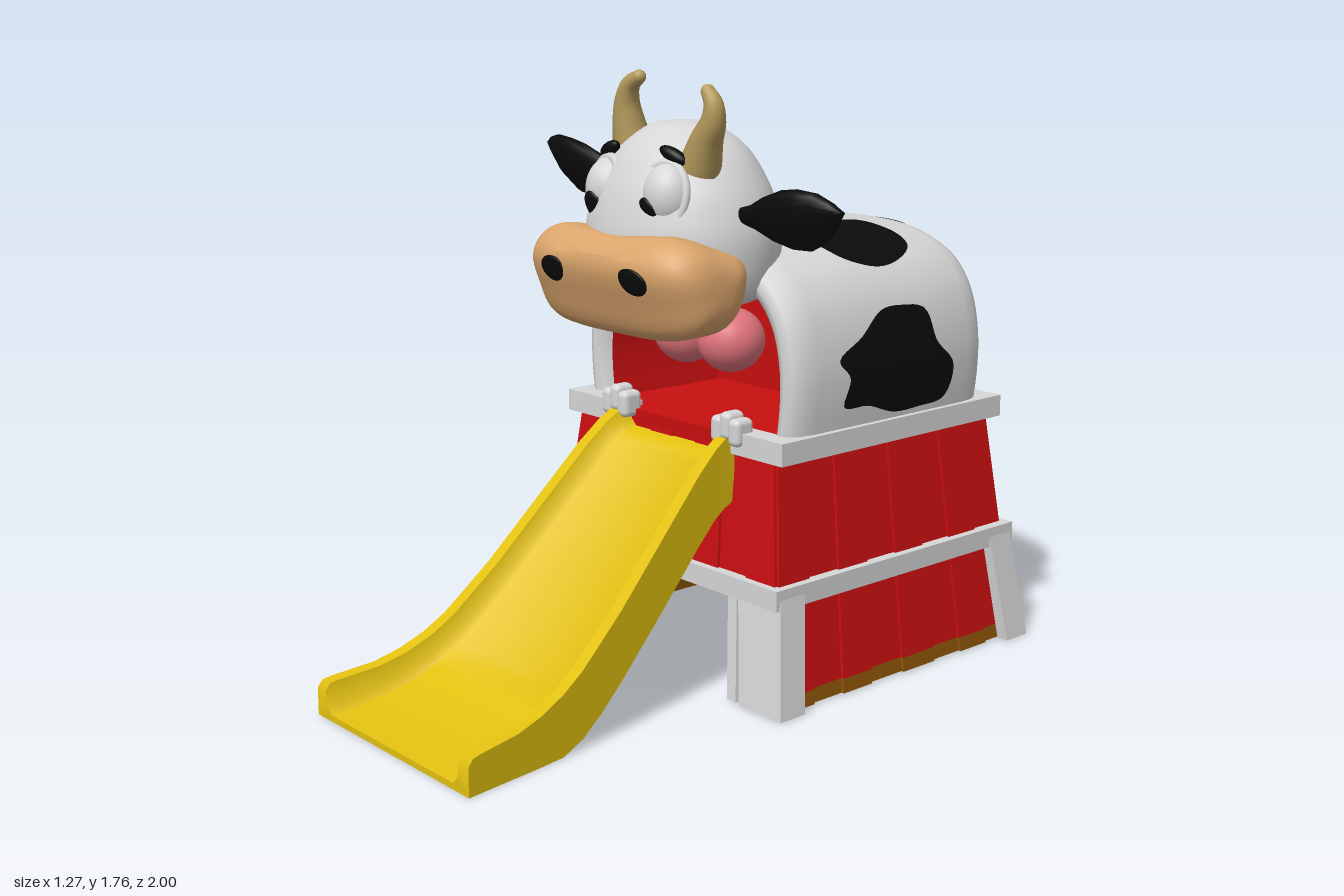
import * as THREE from 'three';
import { toCreasedNormals } from 'three/addons/utils/BufferGeometryUtils.js';
import { RoundedBoxGeometry } from 'three/addons/geometries/RoundedBoxGeometry.js';

const material = (name, color, side = THREE.FrontSide) => {
  const m = new THREE.MeshStandardMaterial({ color, side });
  m.name = name;
  return m;
};
const CX = -0.04, CZ = -0.46; // centre of the barn base
const lerp = THREE.MathUtils.lerp;

// linear lookup in a table of [key, value] pairs with rising keys
function lookup(table, k) {
  for (let i = 1; i < table.length; i++) {
    const [a, va] = table[i - 1], [b, vb] = table[i];
    if (k <= b) return lerp(va, vb, THREE.MathUtils.clamp((k - a) / (b - a), 0, 1));
  }
  return table[table.length - 1][1];
}

// skin over closed rings of [x, y, z]; caps are triangulated in the given two axes
function loft(rings, { start = true, end = true, axes = [0, 1], crease = 0.7 } = {}) {
  const n = rings[0].length, p = rings.flat(), idx = [];
  for (let r = 0; r + 1 < rings.length; r++)
    for (let i = 0; i < n; i++) {
      const a = r * n + i, b = r * n + (i + 1) % n;
      idx.push(a, b, b + n, a, b + n, a + n);
    }
  const cap = (r, flip) => {
    let pts = rings[r].map(q => new THREE.Vector2(q[axes[0]], q[axes[1]]));
    const reversed = THREE.ShapeUtils.area(pts) < 0;
    if (reversed) pts = pts.reverse();
    for (const f of THREE.ShapeUtils.triangulateShape(pts, [])) {
      const g = f.map(i => r * n + (reversed ? n - 1 - i : i));
      if (reversed !== flip) g.reverse();
      idx.push(...g);
    }
  };
  if (start) cap(0, true);
  if (end) cap(rings.length - 1, false);
  // turn the skin outward
  let volume = 0;
  const v = i => new THREE.Vector3(...p[i]).sub(new THREE.Vector3(...p[0]));
  for (let i = 0; i < idx.length; i += 3) volume += v(idx[i]).dot(v(idx[i + 1]).cross(v(idx[i + 2])));
  if (volume < 0) idx.reverse();
  const g = new THREE.BufferGeometry();
  g.setAttribute('position', new THREE.Float32BufferAttribute(p.flat(), 3));
  g.setIndex(idx);
  return toCreasedNormals(g, crease);
}

export function createModel() {
  const model = new THREE.Group();
  model.name = 'cowBarnSlide';
  const white = material('white', 0xd6d6d6), red = material('barn red', 0xc80f10, THREE.DoubleSide);
  const yellow = material('slide yellow', 0xe2c010), black = material('black', 0x0b0b0b, THREE.DoubleSide);
  const peach = material('muzzle peach', 0xdba56c), tan = material('horn tan', 0xb89d5e);
  const pink = material('tongue pink', 0xe0737c), brown = material('mud brown', 0x8c5608);

  const add = (name, geo, mat, pos = [0, 0, 0], rot = [0, 0, 0], scale = [1, 1, 1]) => {
    const m = new THREE.Mesh(geo, mat);
    m.name = name;
    m.position.set(...pos);
    m.rotation.set(...rot);
    m.scale.set(...scale);
    model.add(m);
    return m;
  };
  const ball = (name, mat, pos, radii, rot) => add(name, new THREE.SphereGeometry(1, 32, 20), mat, pos, rot, radii);
  const box = (name, mat, x0, x1, y0, y1, z0, z1) => add(name, new THREE.BoxGeometry(x1 - x0, y1 - y0, z1 - z0), mat,
    [(x0 + x1) / 2, (y0 + y1) / 2, (z0 + z1) / 2]);
  // slanted block whose footprint [x0, x1, z0, z1] depends on height
  const block = (name, mat, y0, y1, foot) => add(name, loft([y0, y1].map(y => {
    const [x0, x1, z0, z1] = foot(y);
    return [[x0, y, z0], [x1, y, z0], [x1, y, z1], [x0, y, z1]];
  }), { axes: [0, 2], crease: 0.1 }), mat);

  // plank walls, leaning inward
  const hx = y => 0.512 - 0.125 * y, hz = y => 0.515 - 0.1 * y;
  const N = 8;
  const cut = (i, y) => (i === 0 || i === N ? 0 : 0.035 * Math.sin(i * 4.7) * (y / 0.7 - 0.5)) + (2 * i) / N - 1;
  for (const s of [-1, 1])
    for (let i = 0; i < N; i++) {
      const out = i % 2 ? 0.009 : 0;
      const side = y => {
        const a = CX + s * (hx(y) - 0.03), b = CX + s * (hx(y) + out);
        return [Math.min(a, b), Math.max(a, b), CZ + cut(i, y) * hz(y), CZ + cut(i + 1, y) * hz(y)];
      };
      const endWall = y => {
        const a = CZ + s * (hz(y) - 0.03), b = CZ + s * (hz(y) + out);
        return [CX + cut(i, y) * hx(y), CX + cut(i + 1, y) * hx(y), Math.min(a, b), Math.max(a, b)];
      };
      block('sidePlankFoot', brown, 0.003, 0.045, side);
      block('sidePlank', red, 0.045, 0.71, side);
      const outer = i < 2 || i >= N - 2;
      if (s < 0 && outer) block('backPlankFoot', brown, 0.003, 0.045, endWall);
      block('endPlank', red, s < 0 && outer ? 0.045 : 0.31, 0.71, endWall);
    }

  // corner legs and doorway posts
  for (const sx of [-1, 1])
    for (const sz of [-1, 1]) {
      block('cornerLeg', white, 0, 0.33, y => {
        const xo = CX + sx * (0.55 - 0.15 * y), zo = CZ + sz * (0.54 - 0.13 * y);
        const xi = xo - sx * 0.17, zi = zo - sz * 0.095;
        return [Math.min(xo, xi), Math.max(xo, xi), Math.min(zo, zi), Math.max(zo, zi)];
      });
      block('doorPost', white, 0.003, 0.31, y => {
        const x = CX + sx * (sz < 0 ? 0.245 : 0.345 - 0.1 * y), z = CZ + sz * (hz(y) - 0.01);
        return [x - 0.018, x + 0.018, z - 0.03, z + 0.03];
      });
    }

  // trim boards round the base, with a gap for the slide at the top
  const trim = (name, y0, y1, X, Z, w, gap) => {
    for (const s of [-1, 1]) {
      const a = CX + s * X, b = a - s * w;
      box(name, white, Math.min(a, b), Math.max(a, b), y0, y1, CZ - Z, CZ + Z);
    }
    box(name, white, CX - X + w, CX + X - w, y0, y1, CZ - Z, CZ - Z + w);
    if (!gap) box(name, white, CX - X + w, CX + X - w, y0, y1, CZ + Z - w, CZ + Z);
    else for (const [x0, x1] of [[CX - X + w, -0.24], [0.19, CX + X - w]]) box(name, white, x0, x1, y0, y1, CZ + Z - w, CZ + Z);
  };
  trim('middleTrim', 0.3, 0.36, 0.5, 0.512, 0.06, false);
  trim('topTrim', 0.7, 0.765, 0.47, 0.468, 0.07, true);
  box('lowerFloor', white, CX - 0.45, CX + 0.45, 0.305, 0.325, CZ - 0.46, CZ + 0.46);
  box('deck', white, CX - 0.41, CX + 0.41, 0.7, 0.735, CZ - 0.42, CZ + 0.35);
  box('mouthFloor', red, -0.37, 0.31, 0.69, 0.75, -0.5, -0.012);

  // slide: [z, rail top, bed, underside]
  const slide = [[-0.01, 0.755, 0.7, 0.56], [0.03, 0.745, 0.69, 0.545], [0.07, 0.72, 0.665, 0.52], [0.14, 0.66, 0.59, 0.455],
    [0.3, 0.5, 0.425, 0.295], [0.45, 0.35, 0.275, 0.15], [0.53, 0.28, 0.2, 0.08], [0.6, 0.22, 0.145, 0.03], [0.67, 0.175, 0.1, 0.002],
    [0.75, 0.14, 0.065, 0], [0.83, 0.118, 0.042, 0], [0.96, 0.105, 0.022, 0], [0.985, 0.1, 0.02, 0], [1, 0.08, 0.018, 0]];
  add('slide', loft(slide.map(([z, top, bed, low]) => {
    const w = 0.25 + 0.112 * Math.max(z, 0), half = [[w, low], [w, top], [w - 0.04, top], [w - 0.05, bed + 0.02], [w - 0.07, bed]];
    return [...half.map(([x, y]) => [x, y, z]), ...half.reverse().map(([x, y]) => [-x, y, z])].map(([x, y, q]) => [x - 0.028, y, q]);
  })), yellow);

  // small hooves gripping the slide top
  for (const x of [-0.27, 0.215])
    for (let i = -1; i <= 1; i++)
      add('hoof', new RoundedBoxGeometry(0.045, 0.08, 0.07, 3, 0.018), white, [x + i * 0.036, 0.765 + (i ? 0 : 0.015), -0.005]);

  // body: arch section scaled along z
  const half = [[0.45, 0.74], [0.463, 0.85], [0.465, 0.95], [0.45, 1.05], [0.42, 1.13], [0.36, 1.205], [0.27, 1.255], [0.15, 1.283]];
  const archCurve = new THREE.CatmullRomCurve3([...half, [0, 1.29], ...half.slice().reverse().map(([x, y]) => [-x, y])]
    .map(([x, y]) => new THREE.Vector3(x, y, 0)));
  const arch = archCurve.getPoints(64);
  const BY = 0.76;
  const section = (z, s) => arch.map(p => [CX + p.x * s, BY + (p.y - BY) * s, z]);
  const shell = [[-0.875, 0.82], [-0.873, 0.87], [-0.864, 0.915], [-0.845, 0.955], [-0.815, 0.982], [-0.77, 1], [-0.6, 1], [-0.4, 1],
    [-0.14, 0.995], [-0.09, 0.98], [-0.06, 0.94]];
  const lip = [[-0.05, 0.89], [-0.06, 0.84], [-0.09, 0.805]];
  add('body', loft([...shell, ...lip].map(([z, s]) => section(z, s)), { end: false, crease: 1 }), white);
  add('mouthLining', loft([[-0.09, 0.806], [-0.3, 0.79], [-0.5, 0.74]].map(([z, s]) => section(z, s)), { start: false }), red);

  // cow patches: star-shaped blobs laid over the body
  const patch = (outline, map) => {
    const edge = new THREE.CatmullRomCurve3(outline.map(([a, b]) => new THREE.Vector3(a, b, 0)), true).getPoints(60).slice(0, 60);
    const c = edge.reduce((t, p) => t.add(p), new THREE.Vector3()).divideScalar(60);
    const rings = [];
    for (let r = 0; r <= 10; r++) rings.push(edge.map(p => map(lerp(c.x, p.x, r / 10), lerp(c.y, p.y, r / 10))));
    add('cowPatch', loft(rings, { start: false, end: false }), black);
  };
  const right = arch.filter(p => p.x >= -1e-6);
  const widthAt = right.map(p => [p.y, p.x]);
  const heightAt = right.filter(p => p.y > 0.97).map(p => [p.x, p.y]).reverse();
  const onSide = side => (z, y) => {
    const s = lookup(shell, z);
    return [CX + side * (s * lookup(widthAt, BY + (y - BY) / s) + 0.006), y, z];
  };
  const onTop = (dx, z) => {
    const s = lookup(shell, z);
    return [CX + dx * 1.008, BY + s * (lookup(heightAt, Math.abs(dx) / s) - BY) + 0.006, z - (z < -0.8 ? 0.005 : 0)];
  };
  const sideBlob = [[-0.217, 0.965], [-0.31, 1.02], [-0.405, 1.085], [-0.5, 1.09], [-0.59, 1.07], [-0.625, 0.975], [-0.7, 0.895],
    [-0.67, 0.8], [-0.56, 0.785], [-0.45, 0.785], [-0.34, 0.82], [-0.24, 0.83], [-0.26, 0.91]];
  const topBlob = [[0.32, -0.65], [0.2, -0.665], [0.11, -0.64], [0.095, -0.53], [0.075, -0.35], [0.2, -0.32], [0.33, -0.35], [0.375, -0.48]];
  for (const s of [-1, 1]) {
    patch(sideBlob, onSide(s));
    patch(topBlob, (x, z) => onTop(s * x, z));
  }
  patch([[-0.15, -0.86], [-0.12, -0.842], [0, -0.835], [0.12, -0.842], [0.15, -0.86], [0.08, -0.872], [-0.08, -0.872]], onTop);
  patch([[-0.24, 0.96], [-0.22, 1.07], [-0.05, 1.06], [0.08, 1.08], [0.2, 1.04], [0.2, 0.93], [0.27, 0.86], [0.22, 0.8], [0.08, 0.8],
    [-0.06, 0.85], [-0.2, 0.83]], (x, y) => [CX + x, y, -0.88]);

  // head dome
  const dome = [[0.6, 1.1], [0.88, 1.14], [0.97, 1.2], [1, 1.3], [0.95, 1.38], [0.86, 1.45], [0.69, 1.53], [0.5, 1.58], [0.26, 1.612], [0, 1.62]];
  const domeCurve = new THREE.SplineCurve(dome.map(([r, y]) => new THREE.Vector2(r, y)));
  add('head', new THREE.LatheGeometry(domeCurve.getPoints(40).map(p => p.setX(Math.max(p.x, 0))), 48), white,
    [-0.02, 0, -0.03], [0, 0, 0], [0.305, 1, 0.26]);

  // muzzle: side profile [z, y] swelling across x
  const muzzle = new THREE.CatmullRomCurve3([[-0.02, 1.26], [-0.01, 1.13], [0.06, 1.05], [0.15, 1.035], [0.235, 1.045], [0.285, 1.14],
    [0.315, 1.24], [0.29, 1.3], [0.23, 1.335], [0.1, 1.31]].map(([z, y]) => new THREE.Vector3(0, y, z)), true).getPoints(48).slice(0, 48);
  const muzzleRings = [];
  for (let i = 0; i <= 40; i++) {
    const t = Math.sin((i / 40 - 0.5) * Math.PI), s = Math.max(0.001, (1 - Math.abs(t) ** 4) ** (1 / 3));
    const dip = 0.02 * Math.max(0, 1 - (t / 0.6) ** 2); // shallow dip in the middle
    muzzleRings.push(muzzle.map(p => [-0.022 + 0.357 * t, 1.185 + (p.y - 1.185) * s - (p.y > 1.28 ? dip : 0), 0.14 + (p.z - 0.14) * s]));
  }
  add('muzzle', loft(muzzleRings, { start: false, end: false, crease: 1.2 }), peach);
  for (const x of [-0.19, 0.148]) ball('nostril', black, [x, 1.208, 0.302], [0.058, 0.042, 0.012], [0.36, 0, 0]);

  // eyes, brows and tongue
  for (const [x, px, s] of [[-0.15, -0.157, -1], [0.1, 0.078, 1]]) {
    ball('eye', white, [x, 1.425, 0.125], [0.076, 0.092, 0.075]);
    add('eyeRim', new THREE.TorusGeometry(0.078, 0.012, 10, 36), white, [x, 1.425, 0.15], [-0.2, s * 0.2, 0], [1, 1.18, 1]);
    ball('pupil', black, [px, 1.378, 0.178], [0.04, 0.05, 0.018], [0.45, (px - x) * 5, 0]);
    ball('eyebrow', black, [x + s * 0.012, 1.535, 0.12], [0.05, 0.02, 0.022], [-0.5, s * 0.4, s * -0.25]);
  }
  for (const x of [-0.147, 0.045]) ball('tongue', pink, [x, 0.98, -0.16], [0.1, 0.095, 0.1]);

  // ears: leaf cross-sections from root to tip [distance, half height, rise]
  const leaf = [[0, 0.025, 0], [0.04, 0.035, 0], [0.1, 0.062, 0.002], [0.17, 0.082, 0.008], [0.23, 0.085, 0.016], [0.29, 0.068, 0.035],
    [0.335, 0.035, 0.055], [0.365, 0.003, 0.068]];
  for (const [s, x, y, z] of [[-1, -0.275, 1.436, -0.032], [1, 0.27, 1.375, 0.005]])
    add('ear', loft(leaf.map(([d, h, rise]) => Array.from({ length: 24 }, (_, i) => {
      const a = (i / 24) * Math.PI * 2, c = Math.cos(a);
      return [x + s * d, y + rise * (s < 0 ? 1.2 : 0.6) + h * Math.sin(a), z + (0.01 + h * 0.42) * c + 0.35 * h * Math.sin(a)];
    })), { start: false, end: false, crease: 1 }), black);

  // horns: tapering curved tubes
  for (const path of [[[-0.145, 1.53, 0.045], [-0.157, 1.61, 0.055], [-0.158, 1.67, 0.06], [-0.14, 1.715, 0.062], [-0.105, 1.738, 0.06]],
    [[0.15, 1.5, 0.06], [0.182, 1.575, 0.065], [0.211, 1.63, 0.067], [0.213, 1.675, 0.067], [0.188, 1.71, 0.065]]]) {
    const curve = new THREE.CatmullRomCurve3(path.map(p => new THREE.Vector3(...p)));
    const g = new THREE.TubeGeometry(curve, 24, 1, 20), p = g.attributes.position;
    for (let i = 0; i < p.count; i++) {
      const t = Math.floor(i / 21) / 24, c = curve.getPointAt(t), v = new THREE.Vector3().fromBufferAttribute(p, i);
      v.sub(c).multiplyScalar(lerp(0.062, 0.02, t)).add(c);
      p.setXYZ(i, v.x, v.y, v.z);
    }
    add('horn', g, tan);
    ball('hornTip', tan, path[4], [0.02, 0.02, 0.02]);
  }
  return model;
}
